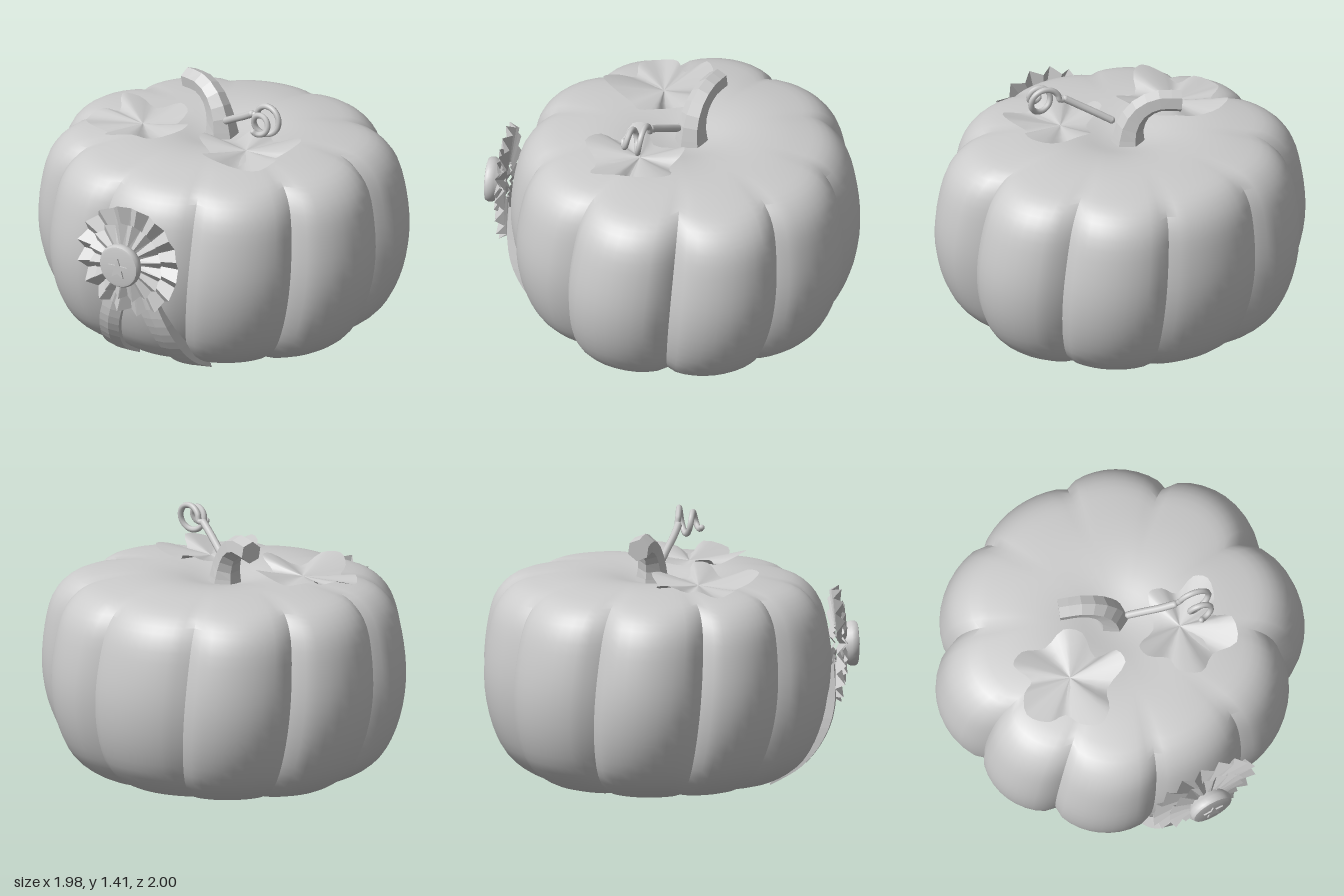
import * as THREE from 'three';
import { toCreasedNormals } from 'three/addons/utils/BufferGeometryUtils.js';

const grey = (opts = {}) => new THREE.MeshStandardMaterial({ color: 0xcccccc, ...opts });
const V = (x, y, z) => new THREE.Vector3(x, y, z);

// Skin a list of cross-sections (each a list of Vector3) into one surface
function skin(rings, closed = true) {
  const n = rings[0].length;
  const pos = rings.flat().flatMap((p) => [p.x, p.y, p.z]);
  const idx = [];
  for (let i = 0; i < rings.length - 1; i++) {
    for (let j = 0; j < (closed ? n : n - 1); j++) {
      const a = i * n + j, b = i * n + ((j + 1) % n);
      idx.push(a, b, a + n, b, b + n, a + n);
    }
  }
  const g = new THREE.BufferGeometry();
  g.setAttribute('position', new THREE.Float32BufferAttribute(pos, 3));
  g.setIndex(idx);
  g.computeVertexNormals();
  return g;
}

function add(parent, name, geometry, material) {
  const mesh = new THREE.Mesh(geometry, material);
  mesh.name = name;
  parent.add(mesh);
  return mesh;
}

// Ribbed body: uneven lobes meeting in sharp grooves, slightly twisted
function bodyGeometry() {
  const grooves = [-16, 19, 55, 94, 132, 168, 205, 242, 279, 310, 344];
  const peaks = [0.93, 0.955, 1.01, 1.0, 0.96, 0.925, 0.965, 0.995, 0.975, 0.97];
  const profile = new THREE.CatmullRomCurve3([
    [0, 0.03], [0.3, 0.022], [0.52, 0.023], [0.7, 0.055], [0.86, 0.16], [0.955, 0.33],
    [1, 0.55], [0.985, 0.78], [0.93, 0.97], [0.83, 1.07], [0.66, 1.113],
    [0.45, 1.13], [0.28, 1.118], [0.12, 1.085], [0, 1.07],
  ].map(([r, y]) => V(r, y, 0)));
  const steps = 10;
  const rings = profile.getPoints(48).map((p) => {
    const ring = [];
    // Grooves fade out towards the crown and the base
    const fade = p.y > 0.55 ? THREE.MathUtils.smoothstep(p.x, 0.15, 0.8) : THREE.MathUtils.smoothstep(p.x, 0, 0.65);
    peaks.forEach((peak, k) => {
      for (let s = 0; s < steps; s++) {
        const t = s / steps;
        const deg = THREE.MathUtils.lerp(grooves[k], grooves[k + 1], t) + (p.y - 0.55) * 5;
        const a = THREE.MathUtils.degToRad(deg);
        const lobe = 0.885 + (peak - 0.885) * Math.sin(Math.PI * t) ** 0.6;
        const r = Math.max(p.x, 0) * THREE.MathUtils.lerp(0.94, lobe, fade);
        ring.push(V(r * Math.sin(a), p.y, -0.08 + r * Math.cos(a)));
      }
    });
    return ring;
  });
  return toCreasedNormals(skin(rings), 0.65);
}

// Six-sided curved stem, flared at the foot, with a flat cut end
function stemGeometry() {
  const path = new THREE.CatmullRomCurve3([
    V(-0.015, 1.05, -0.11), V(-0.025, 1.16, -0.11), V(-0.075, 1.26, -0.13),
    V(-0.16, 1.31, -0.165), V(-0.28, 1.305, -0.21),
  ]);
  const n = 8;
  const { normals, binormals } = path.computeFrenetFrames(n);
  const ringAt = (i, r) => Array.from({ length: 6 }, (_, j) => {
    const a = (j / 6) * Math.PI * 2;
    return path.getPointAt(i / n)
      .addScaledVector(normals[i], r * Math.cos(a))
      .addScaledVector(binormals[i], r * Math.sin(a));
  });
  const radius = (t) => 0.06 + 0.035 * (1 - t) ** 3;
  const rings = Array.from({ length: n + 1 }, (_, i) => ringAt(i, radius(i / n)));
  rings.push(ringAt(n, 0));
  return skin(rings);
}

// Lobed leaf: a fan from the centre whose rim rises and dips
function leafGeometry(centre, rim) {
  const rimCurve = new THREE.CatmullRomCurve3(rim.map((p) => V(...p)), true);
  const edge = rimCurve.getPoints(rim.length * 3).slice(0, -1);
  const rings = [0, 0.35, 0.7, 1].map((t) => edge.map((p) => {
    const q = centre.clone().lerp(p, t);
    q.y = centre.y + (p.y - centre.y) * t ** 1.15;
    return q;
  }));
  return skin(rings);
}

// Pleated ring of the rosette: alternate ridges and valleys
function pleatGeometry(rIn, rOut, zIn, zOut, fold, pleats, phase) {
  const ring = (r, z, f, scallop) => Array.from({ length: pleats * 2 }, (_, j) => {
    const a = ((j + phase) / (pleats * 2)) * Math.PI * 2;
    const up = j % 2 ? 1 : -1;
    const rr = r + scallop * up;
    return V(rr * Math.cos(a), 0.72 + rr * Math.sin(a), z + f * up);
  });
  return skin([ring(rIn, zIn, fold * 0.3, 0), ring(rOut, zOut, fold, 0.011)]);
}

// Ribbon tail: creased down the middle, edges turned in to the body, notched end
function tailGeometry(side) {
  const path = new THREE.CatmullRomCurve3([
    V(0.05, 0.62, 0.85), V(0.105, 0.46, 0.852), V(0.155, 0.32, 0.82),
    V(0.19, 0.19, 0.745), V(0.21, 0.1, 0.655), V(0.222, 0.035, 0.545),
  ]);
  const pts = path.getPoints(14);
  const section = [[-1, -0.08], [-1, 0], [0, 0.012], [1, 0], [1, -0.08]];
  const rings = pts.map((p, i) => {
    const notch = i === pts.length - 1 ? 1 : 0;
    return section.map(([k, dz]) => V(
      side * (p.x + k * 0.06),
      p.y + 0.008 * k - 0.025 * notch * Math.abs(k),
      p.z + dz * (1 - notch) - 0.055 * notch * Math.abs(k),
    ));
  });
  return skin(rings, false);
}

export function createModel() {
  const model = new THREE.Group();
  model.name = 'pumpkin';
  const thin = grey({ side: THREE.DoubleSide });
  const faceted = grey({ flatShading: true, side: THREE.DoubleSide });

  add(model, 'body', bodyGeometry(), grey());
  add(model, 'stem', stemGeometry(), faceted);

  // Leaves either side of the stem
  add(model, 'rightLeaf', leafGeometry(V(-0.38, 1.13, 0.1), [
    [-0.62, 1.18, -0.09], [-0.54, 1.16, -0.14], [-0.42, 1.13, -0.11], [-0.29, 1.18, -0.14],
    [-0.21, 1.17, -0.08], [-0.21, 1.13, 0.06], [-0.1, 1.195, 0.1], [-0.09, 1.19, 0.18],
    [-0.24, 1.13, 0.25], [-0.29, 1.19, 0.37], [-0.37, 1.19, 0.425], [-0.46, 1.15, 0.36],
    [-0.5, 1.12, 0.27], [-0.6, 1.14, 0.27], [-0.68, 1.12, 0.17], [-0.64, 1.15, 0.07],
    [-0.57, 1.13, 0.02],
  ]), thin);
  add(model, 'leftLeaf', leafGeometry(V(0.27, 1.13, 0.12), [
    [0.18, 1.15, -0.05], [0.21, 1.18, -0.11], [0.28, 1.17, -0.1], [0.34, 1.13, -0.05],
    [0.46, 1.17, -0.08], [0.52, 1.185, -0.03], [0.5, 1.16, 0.08], [0.45, 1.125, 0.14],
    [0.53, 1.18, 0.22], [0.49, 1.15, 0.35], [0.35, 1.125, 0.34], [0.24, 1.185, 0.42],
    [0.14, 1.17, 0.35], [0.13, 1.13, 0.25], [0.03, 1.18, 0.2], [0.02, 1.18, 0.13],
    [0.14, 1.13, 0.07],
  ]), thin);

  // Tendril: straight shoot ending in a tightening coil
  const shoot = [V(0.05, 1.19, -0.045), V(0.12, 1.232, -0.01), V(0.2, 1.278, 0.03), V(0.27, 1.32, 0.06)];
  const coil = [];
  for (let i = 0; i <= 28; i++) {
    const t = i / 28, a = Math.PI * (0.97 - 3.7 * t), r = 0.083 - 0.045 * t;
    coil.push(V(0.385 + r * Math.cos(a), 1.315 + r * Math.sin(a), 0.06 + 0.135 * t));
  }
  const tendril = new THREE.Group();
  tendril.name = 'tendril';
  model.add(tendril);
  [['tendrilShoot', shoot, 0.02], ['tendrilCoil', [shoot[3], ...coil], 0.016]].forEach(([name, pts, r]) => {
    add(tendril, name, new THREE.TubeGeometry(new THREE.CatmullRomCurve3(pts), pts.length * 3, r, 8), grey());
    for (const end of [pts[0], pts[pts.length - 1]]) {
      add(tendril, 'tendrilEnd', new THREE.SphereGeometry(r, 8, 6), grey()).position.copy(end);
    }
  });

  // Award rosette on the front
  const rosette = new THREE.Group();
  rosette.name = 'rosette';
  model.add(rosette);
  add(rosette, 'outerPleats', pleatGeometry(0.1, 0.3, 0.875, 0.872, 0.024, 16, 0), faceted);
  add(rosette, 'innerPleats', pleatGeometry(0.08, 0.215, 0.92, 0.9, 0.014, 16, 0), faceted);
  for (const side of [1, -1]) {
    add(rosette, side > 0 ? 'leftTail' : 'rightTail', tailGeometry(side), faceted);
  }
  const button = toCreasedNormals(new THREE.LatheGeometry([
    [0.09, 0.9], [0.112, 0.935], [0.12, 0.95], [0.12, 0.972], [0.112, 0.985], [0.1, 0.988], [0, 0.986],
  ].map(([r, y]) => new THREE.Vector2(r, y)), 28), 0.7);
  button.rotateX(Math.PI / 2);
  add(rosette, 'button', button, grey({ side: THREE.DoubleSide })).position.y = 0.72;

  // Raised star on the button
  const star = new THREE.Shape(Array.from({ length: 10 }, (_, i) => {
    const a = Math.PI / 2 + (i * Math.PI) / 5, r = i % 2 ? 0.025 : 0.06;
    return new THREE.Vector2(r * Math.cos(a), r * Math.sin(a));
  }));
  add(rosette, 'star', new THREE.ExtrudeGeometry(star, { depth: 0.012, bevelEnabled: false }), grey())
    .position.set(0, 0.71, 0.983);

  return model;
}
